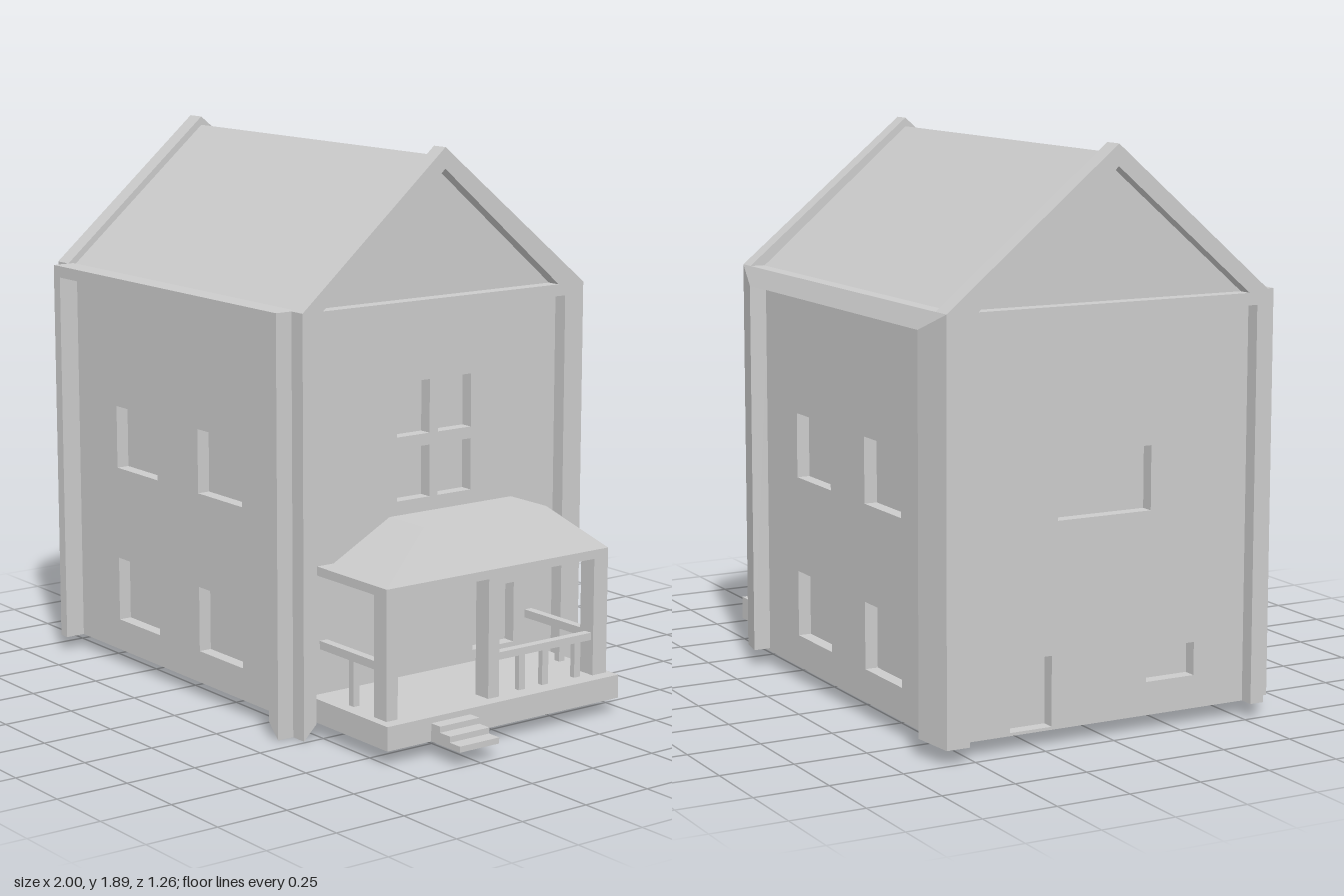
import * as THREE from 'three';

const material = new THREE.MeshStandardMaterial({ color: 0xcccccc, flatShading: true, side: THREE.DoubleSide });

function add(parent, name, geometry) {
  const mesh = new THREE.Mesh(geometry, material);
  mesh.name = name;
  parent.add(mesh);
  return mesh;
}

// Box given by its extents on each axis
function box(parent, name, [x0, x1], [y0, y1], [z0, z1]) {
  const mesh = add(parent, name, new THREE.BoxGeometry(x1 - x0, y1 - y0, z1 - z0));
  mesh.position.set((x0 + x1) / 2, (y0 + y1) / 2, (z0 + z1) / 2);
}

// Skin over four-cornered cross-sections, with optional end caps
function loft(sections, capStart, capEnd) {
  const out = [];
  const quad = (a, b, c, d) => out.push(...a, ...b, ...c, ...a, ...c, ...d);
  for (let s = 0; s + 1 < sections.length; s++) {
    const p = sections[s], q = sections[s + 1];
    for (let i = 0; i < 4; i++) {
      const j = (i + 1) % 4;
      quad(p[i], p[j], q[j], q[i]);
    }
  }
  const first = sections[0], last = sections[sections.length - 1];
  if (capStart) quad(first[3], first[2], first[1], first[0]);
  if (capEnd) quad(...last);
  const g = new THREE.BufferGeometry();
  g.setAttribute('position', new THREE.Float32BufferAttribute(out, 3));
  g.computeVertexNormals();
  return g;
}

const polygon = (pts) => new THREE.Shape(pts.map(([x, y]) => new THREE.Vector2(x, y)));
const rectangle = (x0, x1, y0, y1) => [[x0, y0], [x1, y0], [x1, y1], [x0, y1]];

// Thin wall facing local +z, with sunken windows and doors
function wall(parent, name, outline, openings, z) {
  const shape = polygon(outline);
  for (const [x0, x1, y0, y1, label = 'window'] of openings) {
    const ring = rectangle(x0, x1, y0, y1);
    shape.holes.push(polygon(ring));
    const at = (d) => ring.map(([x, y]) => [x, y, d]);
    add(parent, label, loft([at(z), at(z - 0.045)].map((r) => r), false, true));
  }
  add(parent, name, new THREE.ShapeGeometry(shape)).position.z = z;
}

// Two posts and a top beam around a long wall; each corner is [x, y]
function frame(parent, name, outer, inner, [outBack, outFront, inFront, inBack]) {
  const sections = outer.map((o, k) => [
    [...o, outBack], [...o, outFront], [...inner[k], inFront], [...inner[k], inBack],
  ]);
  add(parent, name, loft(sections, true, true));
}

// End wall with a gable; f is the local x sign of the house front
function gableEnd(parent, name, f, turn, wallZ, frameZ, depth, foot, openings) {
  const side = new THREE.Group();
  side.name = name;
  side.rotation.y = turn;
  const mirror = (pts) => pts.map(([z, y]) => [z * f, y]);
  const shape = polygon(mirror([
    [0.57, foot], [0.57, 1.4], [0, 1.89], [-0.6, 1.4], [-0.6, 0.05],
    [-0.52, 0.05], [-0.52, 1.36], [0.52, 1.36], [0.52, 0.05],
  ]));
  shape.holes.push(polygon(mirror([[0.49, 1.4], [0, 1.82], [-0.49, 1.4]])));
  add(side, name + 'Frame', new THREE.ExtrudeGeometry(shape, { depth, bevelEnabled: false })).position.z = frameZ;
  const cut = openings.map(([a, b, y0, y1, label]) => [Math.min(a * f, b * f), Math.max(a * f, b * f), y0, y1, label]);
  wall(side, name + 'Wall', mirror([[0.56, 0.05], [0.56, 1.38], [0, 1.84], [-0.56, 1.38], [-0.56, 0.05]]), cut, wallZ);
  parent.add(side);
}

function buildHouse(model) {
  const house = new THREE.Group();
  house.name = 'house';
  model.add(house);

  // Long walls with four windows each
  const windows = (cols) => cols.flatMap(([a, b]) => [[a, b, 0.16, 0.385], [a, b, 0.71, 0.93]]);
  wall(house, 'frontWall', rectangle(-0.95, 0.44, 0.05, 1.39),
    windows([[-0.64, -0.38], [-0.13, 0.13]]), 0.56);
  const back = new THREE.Group();
  back.name = 'back';
  back.rotation.y = Math.PI;
  house.add(back);
  wall(back, 'backWall', rectangle(-0.44, 0.95, 0.05, 1.39),
    windows([[0.38, 0.64], [-0.13, 0.13]]), 0.57);

  // Raised trim on the front, bevelled trim on the back
  frame(house, 'frontTrim',
    [[-0.93, 0.05], [-0.93, 1.4], [0.43, 1.4], [0.43, 0]],
    [[-0.89, 0.05], [-0.89, 1.36], [0.38, 1.36], [0.38, 0.05]], [0.55, 0.63, 0.63, 0.55]);
  frame(back, 'backTrim',
    [[-0.49, 0.05], [-0.49, 1.4], [1, 1.4], [1, 0.05]],
    [[-0.37, 0.06], [-0.37, 1.34], [0.87, 1.34], [0.87, 0.06]], [0.55, 0.6, 0.63, 0.56]);

  // Gable ends
  gableEnd(house, 'rightEnd', -1, Math.PI / 2, 0.44, 0.43, 0.06, 0, [
    [0.02, 0.155, 0.73, 0.905], [0.02, 0.155, 0.945, 1.125],
    [-0.155, -0.015, 0.73, 0.905], [-0.155, -0.015, 0.945, 1.125],
    [-0.35, -0.17, 0.17, 0.38],
  ]);
  gableEnd(house, 'leftEnd', 1, -Math.PI / 2, 0.95, 0.93, 0.07, 0.05, [
    [-0.18, 0.16, 0.72, 0.93], [0.15, 0.33, 0.16, 0.27], [-0.35, -0.2, 0.06, 0.29, 'door'],
  ]);

  // Roof between the gables
  const roof = polygon([[0.56, 1.38], [0, 1.86], [-0.57, 1.38], [-0.55, 1.38], [0, 1.84], [0.54, 1.38]]);
  const roofMesh = add(house, 'roof', new THREE.ExtrudeGeometry(roof, { depth: 1.36, bevelEnabled: false }));
  roofMesh.rotation.y = -Math.PI / 2;
  roofMesh.position.x = 0.43;
}

function buildPorch(model) {
  const porch = new THREE.Group();
  porch.name = 'porch';
  model.add(porch);
  box(porch, 'porchFloor', [0.44, 0.855], [0.05, 0.13], [-0.46, 0.51]);

  // Hipped roof
  const ring = (x0, x1, z0, z1, y) => [[x0, y, z0], [x0, y, z1], [x1, y, z1], [x1, y, z0]];
  add(porch, 'porchRoof', loft([
    ring(0.49, 0.81, -0.445, 0.48, 0.53),
    ring(0.49, 0.81, -0.445, 0.48, 0.56),
    ring(0.55, 0.73, -0.24, 0.27, 0.715),
  ], true, true));
  box(porch, 'porchRoofJoint', [0.44, 0.49], [0.53, 0.56], [-0.445, 0.48]);

  // Posts
  for (const z of [[0.435, 0.48], [0.02, 0.065], [-0.445, -0.385]]) {
    box(porch, 'porchPost', [0.745, 0.81], [0.13, 0.53], z);
  }

  // Railings with balusters
  box(porch, 'outerRail', [0.77, 0.8], [0.25, 0.275], [-0.385, 0.02]);
  for (const z of [-0.09, -0.19, -0.33]) {
    box(porch, 'baluster', [0.775, 0.795], [0.13, 0.25], [z - 0.013, z + 0.013]);
  }
  for (const [z, top] of [[0.455, 0.31], [-0.415, 0.275]]) {
    box(porch, 'sideRail', [0.44, 0.745], [top - 0.028, top], [z - 0.015, z + 0.015]);
    box(porch, 'baluster', [0.595, 0.62], [0.13, top - 0.028], [z - 0.012, z + 0.012]);
  }

  // Steps
  [[0.9, 0.11], [0.95, 0.09], [1, 0.07]].forEach(([x, y], i) => {
    box(porch, 'step', [i ? 0.85 + 0.05 * i : 0.855, x], [0.05, y], [0.175, 0.335]);
  });
}

export function createModel() {
  const model = new THREE.Group();
  model.name = 'houseWithPorch';
  buildHouse(model);
  buildPorch(model);
  return model;
}
